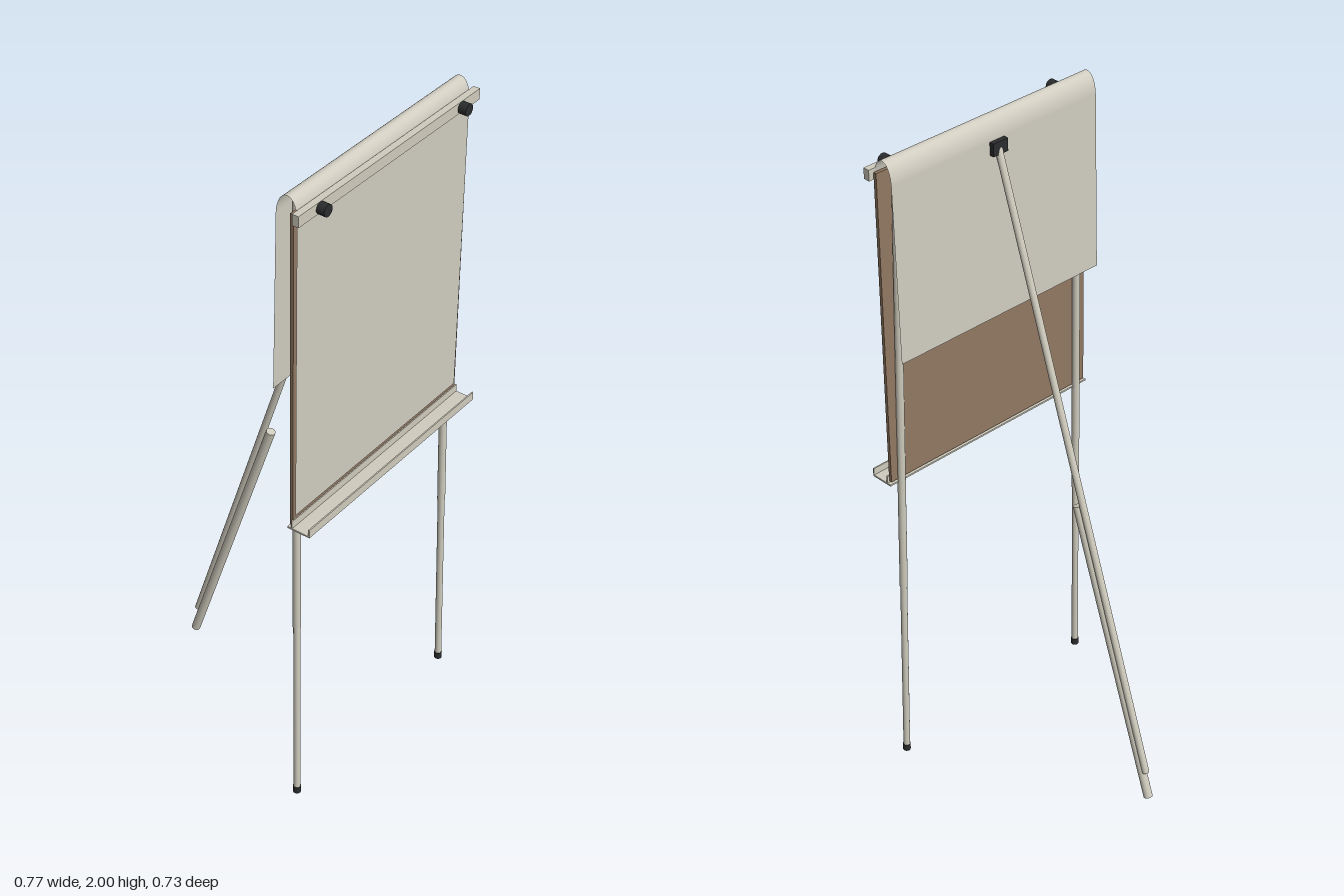
import * as THREE from 'three';

const material = (name, color, side = THREE.FrontSide) => {
  const m = new THREE.MeshStandardMaterial({ color, side });
  m.name = name;
  return m;
};

export function createModel() {
  const group = new THREE.Group();
  group.name = 'flipChartEasel';
  const metal = material('pale metal', 0xcfcbbd);
  const paper = material('paper', 0xd0ccc0, THREE.DoubleSide);
  const brown = material('brown board', 0x907861);
  const black = material('black plastic', 0x2b2c2d);

  const add = (name, geometry, mat, x = 0, y = 0, z = 0) => {
    const mesh = new THREE.Mesh(geometry, mat);
    mesh.name = name;
    mesh.position.set(x, y, z);
    group.add(mesh);
    return mesh;
  };
  const box = (name, w, h, d, mat, x, y, z) => add(name, new THREE.BoxGeometry(w, h, d), mat, x, y, z);

  // Round tube between two points
  const rod = (name, a, b, radius, mat) => {
    const from = new THREE.Vector3(...a), to = new THREE.Vector3(...b);
    const dir = to.clone().sub(from);
    const mesh = add(name, new THREE.CylinderGeometry(radius, radius, dir.length(), 20), mat);
    mesh.position.copy(from).add(to).multiplyScalar(0.5);
    mesh.quaternion.setFromUnitVectors(new THREE.Vector3(0, 1, 0), dir.normalize());
    return mesh;
  };

  // Board
  box('board', 0.746, 0.96, 0.01, brown, 0, 1.48, 0.304);

  // Paper: front sheet, rolled over the top and hanging behind
  const sheet = new THREE.CurvePath();
  const v = (z, y) => new THREE.Vector2(z, y);
  sheet.add(new THREE.LineCurve(v(0.312, 1.03), v(0.314, 1.94)));
  sheet.add(new THREE.CubicBezierCurve(v(0.314, 1.94), v(0.314, 2.02), v(0.254, 2.02), v(0.25, 1.94)));
  sheet.add(new THREE.LineCurve(v(0.25, 1.94), v(0.24, 1.41)));
  const line = sheet.curves.flatMap((c, i) => c.getPoints(i === 1 ? 20 : 1).slice(i ? 1 : 0));
  const sheetGeo = new THREE.PlaneGeometry(1, 1, 1, line.length - 1);
  const pos = sheetGeo.attributes.position;
  for (let i = 0; i < pos.count; i++) {
    // rows run from the hanging end to the front edge
    const p = line[Math.floor(i / 2)];
    pos.setXYZ(i, i % 2 ? -0.366 : 0.366, p.y, p.x);
  }
  // Mirrored columns with reversed rows keep the outer side facing out
  sheetGeo.computeVertexNormals();
  add('paperSheet', sheetGeo, paper);

  // Clamp bar and its knobs
  box('clampBar', 0.77, 0.032, 0.02, metal, 0, 1.953, 0.323);
  for (const side of [-1, 1]) {
    const knob = add('clampKnob', new THREE.CylinderGeometry(0.017, 0.017, 0.024, 20), black, side * 0.3, 1.953, 0.346);
    knob.rotation.x = Math.PI / 2;
  }

  // Pen tray: floor, front lip and back flange
  box('trayFloor', 0.76, 0.005, 0.072, metal, 0, 0.9925, 0.332);
  box('trayLip', 0.76, 0.026, 0.004, metal, 0, 1.003, 0.366);
  box('trayFlange', 0.76, 0.028, 0.004, metal, 0, 1.004, 0.31);

  // Telescopic front legs with rubber feet
  for (const side of [-1, 1]) {
    const at = (y) => [side * (0.355 - 0.016 * y), y, 0.312 - 0.016 * y];
    rod('frontLegUpper', at(0.62), at(1.985), 0.0115, metal);
    rod('frontLegLower', at(0.015), at(0.64), 0.01, metal);
    rod('frontFoot', at(0), at(0.022), 0.0115, black);
  }

  // Rear leg: slim tube beside a thicker lower tube
  rod('rearLegUpper', [0, 1.92, 0.246], [0, 0.1, -0.338], 0.0105, metal);
  rod('rearLegLower', [0, 0.912, -0.053], [0, 0.013, -0.35], 0.0135, metal);

  // Hinge block of the rear leg
  box('hingeBlock', 0.052, 0.038, 0.034, black, 0, 1.92, 0.252);

  return group;
}
